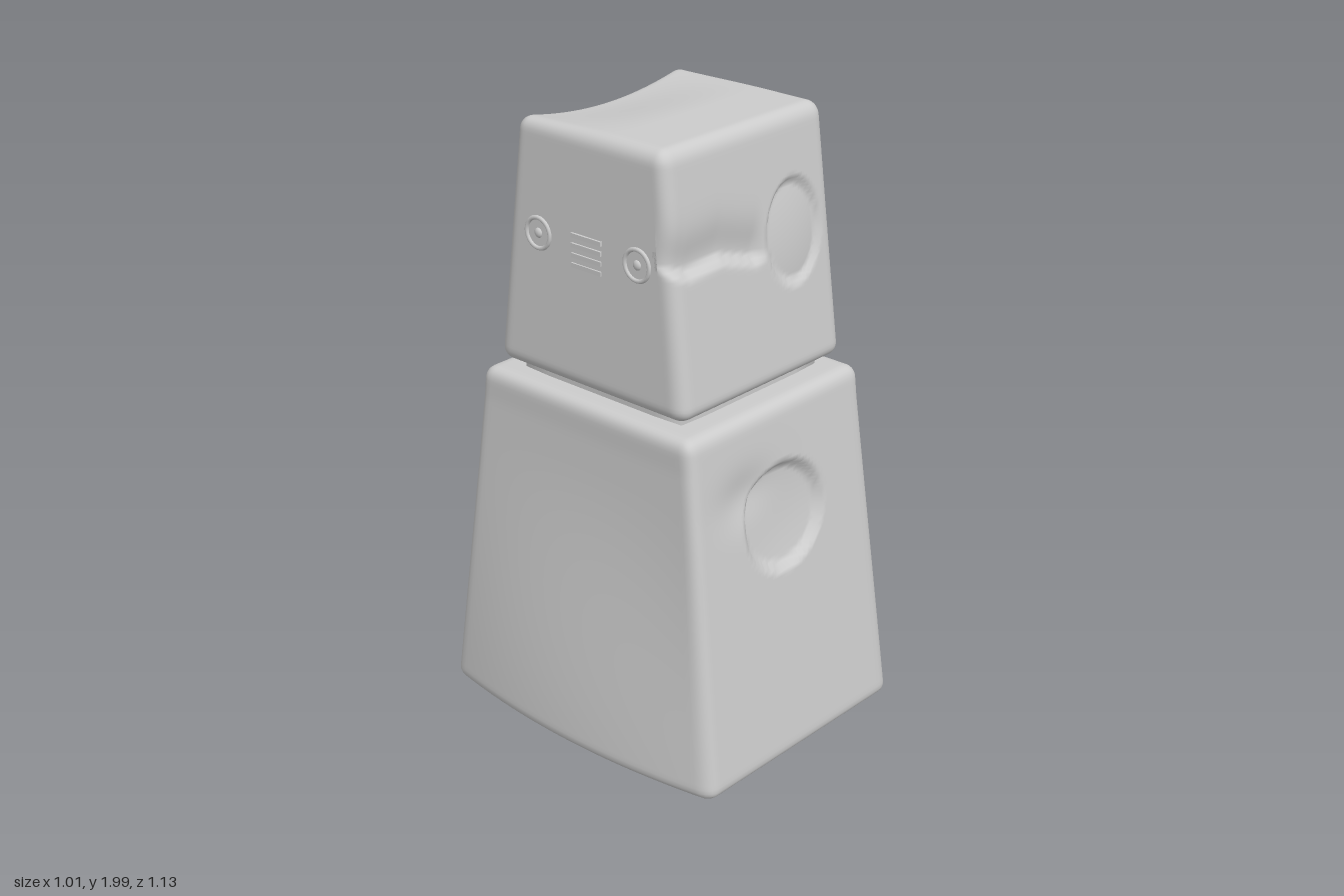
import * as THREE from 'three';
import { mergeVertices } from 'three/addons/utils/BufferGeometryUtils.js';

const material = new THREE.MeshStandardMaterial({ color: 0xcccccc, roughness: 0.9, side: THREE.DoubleSide });
const { smoothstep, clamp, lerp } = THREE.MathUtils;

// Rounded block between y0 and y1; shape(p, t) bends every vertex (x and z start in -1..1 units of half size)
function block(halfX, halfZ, y0, y1, r, segs, shape) {
  const h = (y1 - y0) / 2;
  let geo = new THREE.BoxGeometry(2 * halfX, 2 * h, 2 * halfZ, ...segs);
  geo.deleteAttribute('normal');
  geo.deleteAttribute('uv');
  geo = mergeVertices(geo, 1e-5);
  const pos = geo.attributes.position;
  const p = new THREE.Vector3(), q = new THREE.Vector3();
  for (let i = 0; i < pos.count; i++) {
    p.fromBufferAttribute(pos, i);
    q.set(
      clamp(p.x, r - halfX, halfX - r),
      clamp(p.y, r - h, h - r),
      clamp(p.z, r - halfZ, halfZ - r));
    p.sub(q);
    if (p.lengthSq() > 0) p.setLength(Math.min(r, p.length()));
    p.add(q);
    const t = (p.y + h) / (2 * h);
    p.x /= halfX;
    p.z /= halfZ;
    p.y += y0 + h;
    shape(p, t);
    pos.setXYZ(i, p.x, p.y, p.z);
  }
  geo.computeVertexNormals();
  return geo;
}

// Sunken oval with a steep rim and a slightly domed (or hollow) floor
function oval(x, y, cx, cy, rx, ry, depth, dome) {
  const d = Math.hypot((x - cx) / rx, (y - cy) / ry);
  return (1 - smoothstep(d, 0.9, 1.02)) * (depth - dome * Math.max(0, 1 - d * d));
}

const blob = (x, y, cx, cy, sx, sy) =>
  Math.exp(-(((x - cx) / sx) ** 2) - ((y - cy) / sy) ** 2);

// Body: tapered, sides belly outward near the foot
function bodyShape(p, t) {
  const face = Math.abs(p.z) > 0.85;
  const sign = Math.sign(p.z);
  const belly = 0.06 * (1 - smoothstep(p.y, 0.0, 0.98)) * (1 - p.z * p.z);
  p.x *= lerp(0.445, 0.4, Math.min(1, t * 1.1)) + belly;
  p.z *= lerp(0.572, 0.43, t);
  if (face) {
    let dent = oval(p.x, p.y, 0, 0.8, 0.18, 0.17, 0.025, -0.012);
    if (sign > 0) dent += 0.02 * blob(p.x, p.y, -0.16, 0.92, 0.12, 0.08);
    else {
      dent += 0.015 * blob(p.x, p.y, 0, 0.98, 0.08, 0.07);
      dent += 0.012 * (blob(p.x, p.y, -0.2, 0.82, 0.12, 0.05) + blob(p.x, p.y, 0.2, 0.82, 0.12, 0.05));
    }
    p.z -= sign * dent;
  }
}

// Head: tapers front to back, worn brow on the front, two eyes on the back
function headShape(p, t) {
  const face = Math.abs(p.z) > 0.85 && t > 0.05 && t < 0.95;
  const sign = Math.sign(p.z);
  const backness = smoothstep(-p.z, -0.3, 1);
  const sag = 0.045 * backness * (1 - p.x * p.x) * smoothstep(t, 0.75, 1);
  p.x *= lerp(0.372, 0.355, t);
  p.z *= lerp(0.388, 0.292, t);
  p.y -= sag;
  if (!face) return;
  let dent = oval(p.x, p.y, 0.18, 1.64, 0.122, 0.162, 0.02, 0.014);
  if (sign > 0) {
    // broken ledge where the second eye has worn away
    const zig = 0.025 * Math.abs(((p.x + 1) * 7) % 2 - 1);
    const line = 1.625 - 0.12 * (p.x + 0.16) + zig;
    const reach = 1 - smoothstep(p.x, 0.0, 0.07);
    const above = p.y - line;
    dent += reach * (above > 0
      ? 0.03 * Math.exp(-((above / 0.09) ** 2))
      : 0.03 * Math.exp(-((above / 0.014) ** 2)));
  } else {
    dent += oval(p.x, p.y, -0.18, 1.64, 0.122, 0.162, 0.02, 0.014);
    // nose hollow between the eyes
    dent += 0.025 * blob(p.x, p.y, 0, 1.61, 0.045, 0.045);
    dent += 0.012 * blob(p.x, p.y, 0, 1.5, 0.14, 0.06);
  }
  p.z -= sign * dent;
}

function neckShape(p) {
  p.x *= 0.315;
  p.z *= 0.33;
}

export function createModel() {
  const model = new THREE.Group();
  const add = (parent, name, geo) => {
    const mesh = new THREE.Mesh(geo, material);
    mesh.name = name;
    parent.add(mesh);
    return mesh;
  };

  add(model, 'body', block(0.42, 0.5, 0.01, 1.165, 0.04, [60, 80, 60], bodyShape));
  add(model, 'neck', block(0.315, 0.33, 1.12, 1.25, 0.02, [6, 6, 6], neckShape));
  add(model, 'head', block(0.362, 0.34, 1.195, 2, 0.045, [64, 64, 60], headShape));

  // Side panels: a vent of four slats between two round bolts
  for (const side of [1, -1]) {
    const panel = new THREE.Group();
    panel.name = side > 0 ? 'leftPanel' : 'rightPanel';
    panel.position.set(side * 0.361, 1.645, 0);
    panel.rotation.y = side * Math.PI / 2;
    model.add(panel);
    for (let i = 0; i < 4; i++) {
      const slat = add(panel, 'ventSlat', new THREE.BoxGeometry(0.12, 0.014, 0.016));
      slat.position.y = (i - 1.5) * 0.031 - 0.012;
    }
    for (const x of [-0.2, 0.2]) {
      const ring = add(panel, 'boltRing', new THREE.TorusGeometry(0.048, 0.007, 8, 28));
      ring.position.set(x, 0.005, 0.002);
      const stud = add(panel, 'boltStud', new THREE.SphereGeometry(0.016, 12, 8));
      stud.position.set(x, 0.005, 0);
      stud.scale.z = 0.6;
    }
  }
  return model;
}
